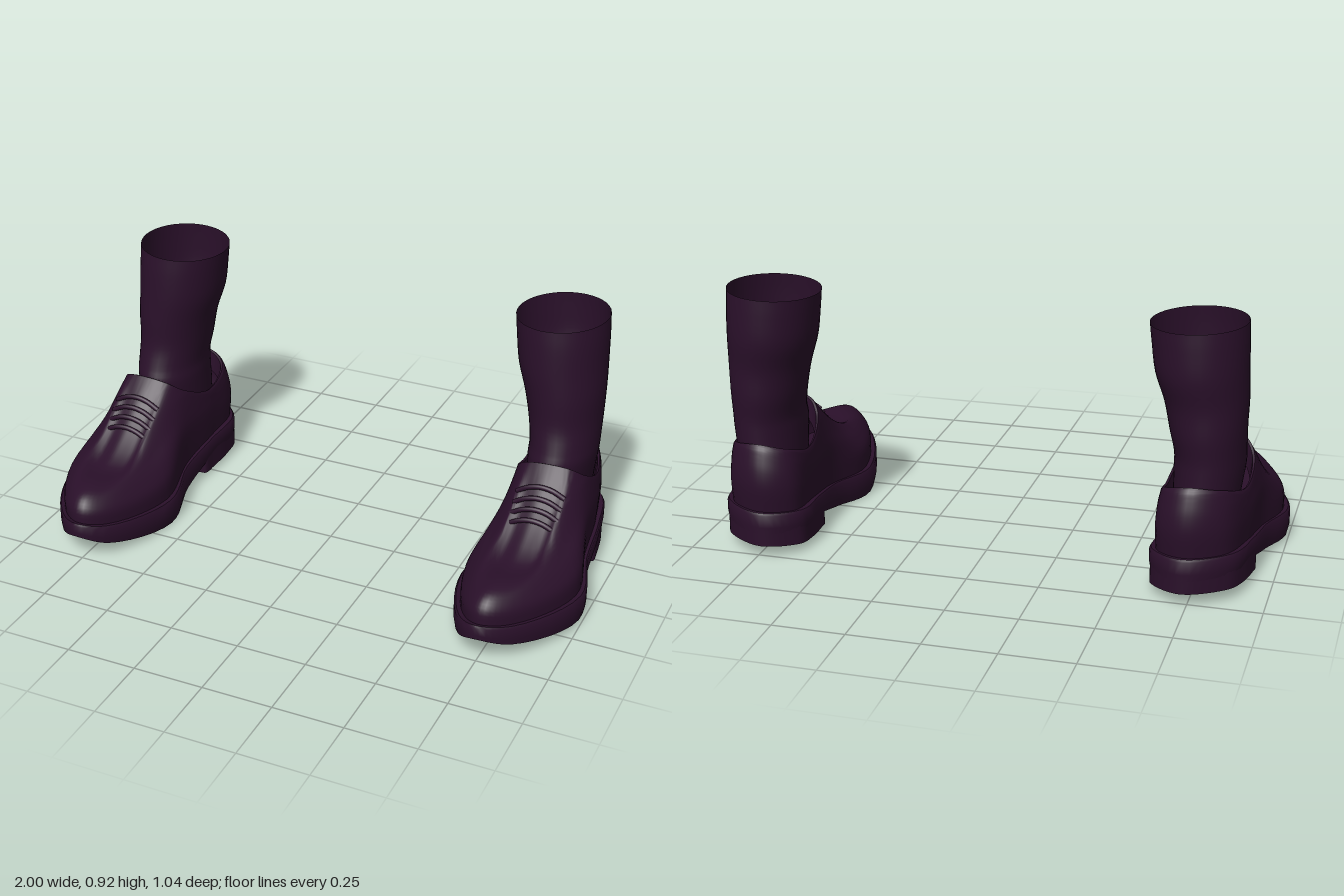
import * as THREE from 'three';
import { toCreasedNormals } from 'three/addons/utils/BufferGeometryUtils.js';

const leather = new THREE.MeshStandardMaterial({ color: 0x2a102a, side: THREE.DoubleSide });
leather.name = 'dark plum';

// Curved centre line of the foot, and a slight sideways roll
const place = (z, w, y) => {
  const x = 0.785 - 0.16 * (z - 0.05) ** 2 + w;
  return new THREE.Vector3(x, y + 0.04 * (x - 0.775), z);
};

// Closed smooth loop from half an outline of [z, halfWidth, y], toe to heel
const outline = (half) => {
  const left = half.map(([z, w, y]) => place(z, w, y));
  const right = half.slice(1, -1).reverse().map(([z, w, y]) => place(z, -w, y));
  const curve = new THREE.CatmullRomCurve3([...left, ...right], true);
  return Array.from({ length: 72 }, (_, i) => curve.getPoint(i / 72));
};

const ellipse = ([y, cx, cz, rx, rz]) => Array.from({ length: 40 }, (_, i) => {
  const a = i / 40 * Math.PI * 2;
  return new THREE.Vector3(cx + rx * Math.sin(a), y + 0.05 * rx * Math.sin(a), cz + rz * Math.cos(a));
});

// Add in-between rings along smooth curves
const refine = (rings, count) => {
  const columns = rings[0].map((_, i) =>
    new THREE.CatmullRomCurve3(rings.map((r) => r[i])).getPoints(count));
  return Array.from({ length: count + 1 }, (_, k) => columns.map((c) => c[k]));
};

// Skin the rings from bottom to top; caps are strips joining opposite sides
const loft = (rings, side, capBottom, capTop, crease = 0.8) => {
  const n = rings[0].length, index = [];
  const quad = (a, b, c, d) => index.push(...(side > 0 ? [a, b, d, b, c, d] : [a, d, b, b, d, c]));
  for (let r = 0; r < rings.length - 1; r++) {
    for (let i = 0; i < n; i++) {
      const j = (i + 1) % n;
      quad(r * n + i, r * n + j, (r + 1) * n + j, (r + 1) * n + i);
    }
  }
  const cap = (o, up) => {
    for (let i = 0; i < n / 2; i++) {
      const p = o + i, p2 = o + i + 1, q = o + (n - i) % n, q2 = o + n - i - 1;
      if (up) quad(p, p2, q2, q); else quad(q, q2, p2, p);
    }
  };
  if (capBottom) cap(0, false);
  if (capTop) cap((rings.length - 1) * n, true);
  const g = new THREE.BufferGeometry();
  g.setAttribute('position', new THREE.Float32BufferAttribute(
    rings.flat().flatMap((p) => [p.x * side, p.y, p.z]), 3));
  g.setIndex(index);
  return toCreasedNormals(g, crease);
};

// Upper: rings from the welt to the collar
const upperRings = [
  [[.495, 0, .13], [.43, .088, .12], [.16, .195, .09], [-.08, .15, .12], [-.28, .14, .14], [-.44, .11, .15], [-.50, 0, .15]],
  [[.49, 0, .19], [.43, .085, .175], [.16, .19, .17], [-.08, .152, .20], [-.28, .145, .22], [-.45, .112, .24], [-.515, 0, .25]],
  [[.455, 0, .227], [.40, .072, .215], [.14, .165, .215], [-.08, .15, .27], [-.28, .145, .27], [-.45, .108, .29], [-.51, 0, .31]],
  [[.38, 0, .242], [.33, .07, .232], [.11, .125, .26], [-.09, .138, .33], [-.28, .142, .305], [-.44, .105, .335], [-.498, 0, .355]],
  [[.25, 0, .238], [.22, .058, .235], [.07, .095, .315], [-.10, .128, .37], [-.28, .14, .325], [-.435, .10, .36], [-.487, 0, .385]],
  [[.10, 0, .312], [.09, .05, .305], [0, .088, .375], [-.115, .124, .39], [-.28, .138, .335], [-.43, .098, .373], [-.48, 0, .395]],
  [[-.065, 0, .455], [-.068, .045, .452], [-.08, .085, .44], [-.13, .122, .40], [-.28, .135, .342], [-.425, .095, .378], [-.475, 0, .40]],
];
const collar = upperRings[6];
const lining = [0, 1, 2].map((k) => collar.map(([z, w, y]) =>
  [-.28 + (z + .28) * (1 - .04 * k), w * (1 - .05 * k), y - [0, .004, .08][k]]));

// Sole outline with its top and bottom heights: [z, halfWidth, top, bottom]
const sole = [[.52, 0, .15, .10], [.45, .097, .13, .06], [.16, .217, .105, .008], [-.06, .167, .12, .028],
  [-.25, .16, .145, .075], [-.43, .137, .16, .09], [-.522, 0, .165, .09]];
const soleRings = [
  sole.map(([z, w, , b]) => [z, w * .97, b]),
  sole.map(([z, w, t, b]) => [z, w, b + (t - b) * .3]),
  sole.map(([z, w, t]) => [z, w, t - .008]),
  sole.map(([z, w, t]) => [z * .99, w * .97, t]),
];

// Heel block outline with its bottom height
const heel = [[-.195, 0, .017], [-.195, .13, .017], [-.2, .155, .018], [-.25, .158, .022],
  [-.36, .152, .031], [-.44, .128, .038], [-.522, 0, .045]];

// Sock rings: [y, centreX, centreZ, radiusX, radiusZ]
const sock = [[.16, .765, -.28, .105, .17], [.30, .768, -.28, .11, .175], [.42, .775, -.27, .118, .185],
  [.47, .776, -.278, .118, .178], [.55, .769, -.293, .126, .172], [.65, .76, -.295, .138, .172],
  [.75, .743, -.305, .152, .18], [.85, .735, -.308, .158, .177], [.912, .73, -.31, .16, .172]];

// Lace centres: [z, y]
const laces = [[.095, .32], [.066, .347], [.036, .374], [.005, .402]];

function createShoe(side) {
  const shoe = new THREE.Group();
  const add = (name, geometry) => {
    const mesh = new THREE.Mesh(geometry, leather);
    mesh.name = name;
    shoe.add(mesh);
  };
  add('upper', loft(refine(upperRings.map(outline), 24), side, false, false, 1.2));
  add('collarLining', loft(lining.map(outline), side));
  add('sole', loft(soleRings.map(outline), side, true, true));
  add('heel', loft([heel, heel.map(([z, w]) => [z, w, .12])].map(outline), side, true, true));
  add('sock', loft(refine(sock.map(ellipse), 32), side, true, false, 1.2));

  // Laces arching over the instep
  for (const [z, y] of laces) {
    const points = [-1, -.5, 0, .5, 1].map((u) => {
      const p = place(z, u * .085, y - .03 * u * u);
      p.x *= side;
      return p;
    });
    add('lace', new THREE.TubeGeometry(new THREE.CatmullRomCurve3(points), 12, .009, 8));
  }
  return shoe;
}

export function createModel() {
  const model = new THREE.Group();
  model.name = 'pairOfShoes';
  for (const [side, name] of [[1, 'leftShoe'], [-1, 'rightShoe']]) {
    const shoe = createShoe(side);
    shoe.name = name;
    model.add(shoe);
  }
  return model;
}
